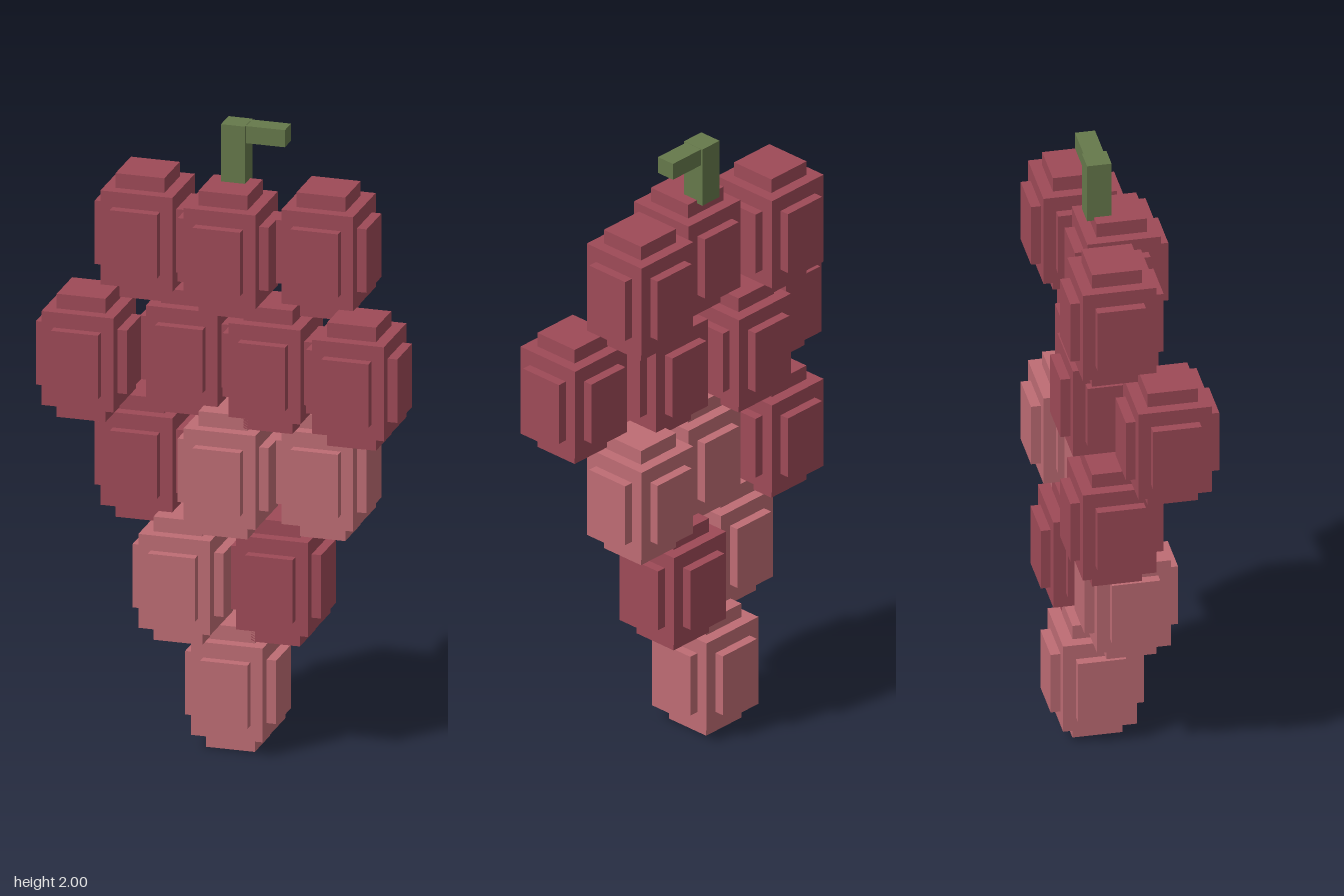
import * as THREE from 'three';

export function createModel() {
  const model = new THREE.Group();
  model.name = 'grapeBunch';

  const material = (name, color) => {
    const m = new THREE.MeshStandardMaterial({ color });
    m.name = name;
    return m;
  };
  const dark = material('dark grape red', 0x9e4a57);
  const light = material('light grape pink', 0xbe6c74);
  const green = material('stem green', 0x66794b);

  const addBox = (parent, name, geometry, mat, x = 0, y = 0, z = 0) => {
    const mesh = new THREE.Mesh(geometry, mat);
    mesh.name = name;
    mesh.position.set(x, y, z);
    parent.add(mesh);
  };

  // A grape is a core block crossed by three smaller blocks, one per axis
  const grapeParts = {
    core: new THREE.BoxGeometry(0.228, 0.302, 0.228),
    sideBulge: new THREE.BoxGeometry(0.289, 0.204, 0.15),
    endBulge: new THREE.BoxGeometry(0.155, 0.396, 0.155),
    frontBulge: new THREE.BoxGeometry(0.15, 0.204, 0.289),
  };

  // Rows from bottom to top: [x, z, material]
  const back = -0.071, mid = 0.004, front = 0.071;
  const rows = [
    [[-0.002, back, light]],
    [[-0.145, mid, light], [0.141, back, dark]],
    [[-0.289, back, dark], [-0.002, mid, light], [0.285, back, light]],
    [[-0.431, front, dark], [-0.145, back, dark], [0.141, mid, dark], [0.427, front, dark]],
    [[-0.289, back, dark], [-0.002, mid, dark], [0.285, back, dark]],
  ];
  rows.forEach((row, r) => row.forEach(([x, z, mat], i) => {
    const grape = new THREE.Group();
    grape.name = `grapeRow${r + 1}Number${i + 1}`;
    grape.position.set(x, 0.2 + r * 0.3545, z);
    for (const [name, geometry] of Object.entries(grapeParts)) addBox(grape, name, geometry, mat);
    model.add(grape);
  }));

  // Bent stem
  const stem = new THREE.Group();
  stem.name = 'stem';
  addBox(stem, 'stemPost', new THREE.BoxGeometry(0.076, 0.195, 0.076), green, -0.002, 1.9025, -0.057);
  addBox(stem, 'stemArm', new THREE.BoxGeometry(0.185, 0.055, 0.062), green, 0.0675, 1.9715, -0.059);
  model.add(stem);

  return model;
}
